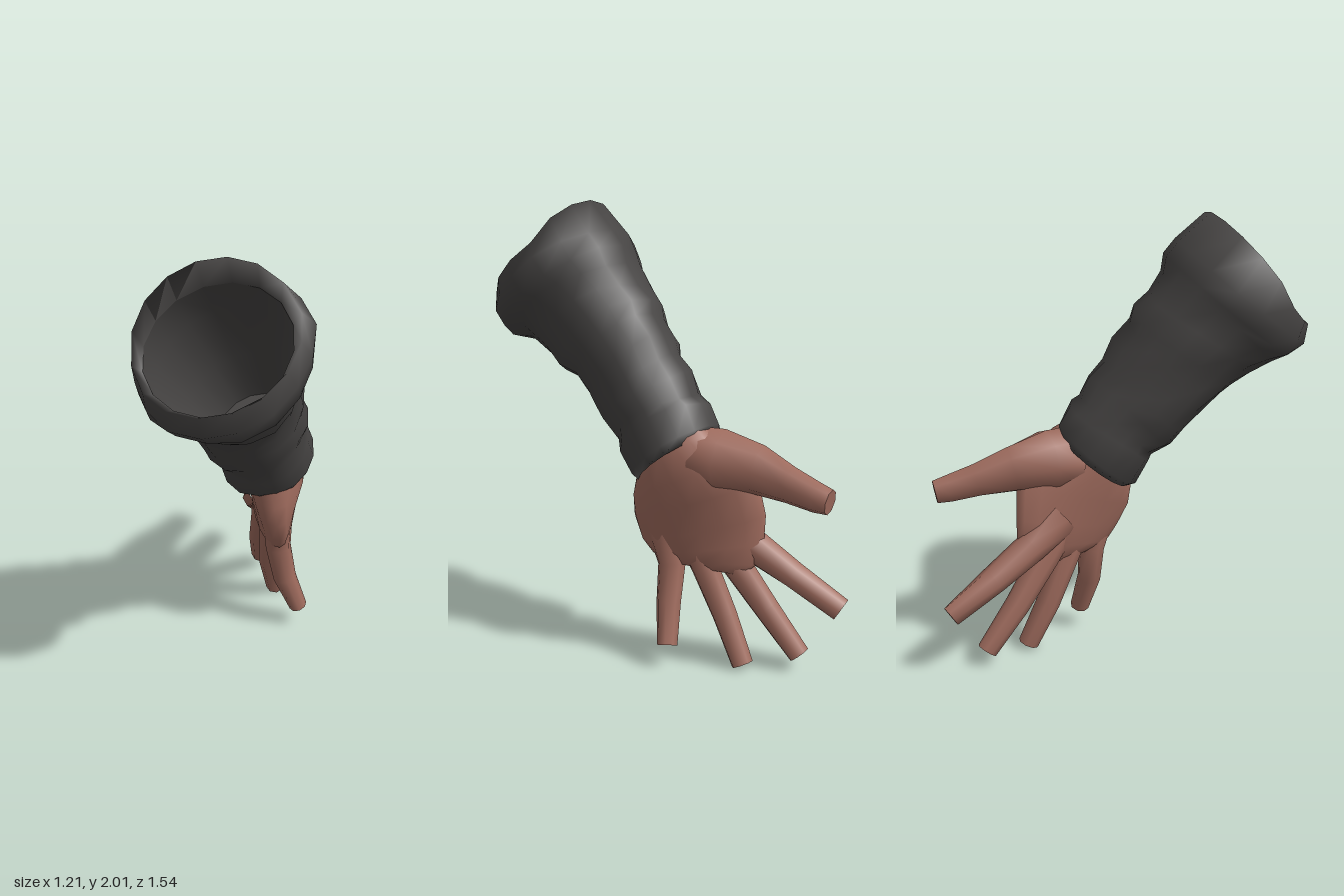
import * as THREE from 'three';

const V = (a) => new THREE.Vector3(...a);

// Skin a row of elliptical rings. ring: [centre, radius1, radius2, e1 override]
// warp(i, angle) may return { k: radius factor, lift: shift along the axis }
function loft(rings, sides, { side, axis, cap = [], warp, creaseCap = true }) {
  const pos = [], idx = [], loops = [];
  const centres = rings.map((r) => V(r[0]));
  const last = rings.length - 1;
  rings.forEach(([, r1, r2, own], i) => {
    const d = axis ? axis.clone()
      : centres[Math.min(i + 1, last)].clone().sub(centres[Math.max(i - 1, 0)]).normalize();
    const e1 = own ? V(own) : side.clone();
    e1.addScaledVector(d, -e1.dot(d)).normalize();
    const e2 = d.clone().cross(e1);
    const loop = [];
    for (let j = 0; j < sides; j++) {
      const a = (j / sides) * Math.PI * 2;
      const w = warp ? warp(i, a) : { k: 1, lift: 0 };
      const p = centres[i].clone()
        .addScaledVector(e1, Math.cos(a) * r1 * w.k)
        .addScaledVector(e2, Math.sin(a) * r2 * w.k)
        .addScaledVector(d, w.lift);
      loop.push(p);
      pos.push(p.x, p.y, p.z);
    }
    loops.push(loop);
  });
  for (let i = 0; i < last; i++) {
    for (let j = 0; j < sides; j++) {
      const n = (j + 1) % sides;
      const a = i * sides + j, b = i * sides + n;
      idx.push(a, b, b + sides, a, b + sides, a + sides);
    }
  }
  // end caps as fans, with their own ring where the edge is sharp
  for (const i of cap) {
    let base = i * sides;
    if (creaseCap) {
      base = pos.length / 3;
      loops[i].forEach((p) => pos.push(p.x, p.y, p.z));
    }
    const mid = pos.length / 3;
    const c = loops[i].reduce((s, p) => s.add(p), new THREE.Vector3()).divideScalar(sides);
    pos.push(c.x, c.y, c.z);
    for (let j = 0; j < sides; j++) idx.push(base + j, base + ((j + 1) % sides), mid);
  }
  const g = new THREE.BufferGeometry();
  g.setAttribute('position', new THREE.Float32BufferAttribute(pos, 3));
  g.setIndex(idx);
  g.computeVertexNormals();
  return g;
}

export function createModel() {
  const group = new THREE.Group();
  const cloth = new THREE.MeshStandardMaterial({ color: 0x464443, side: THREE.DoubleSide });
  cloth.name = 'charcoal cloth';
  const skin = new THREE.MeshStandardMaterial({ color: 0xa06c5e });
  skin.name = 'skin';
  const add = (name, geometry, material) => {
    const m = new THREE.Mesh(geometry, material);
    m.name = name;
    group.add(m);
  };

  // sleeve: hem, wrinkled forearm, rolled cuff with a raised flap
  const axis = V([-0.43, 0.77, 0.45]).normalize();
  const across = V([0.87, 0.49, 0]);
  const sleeve = [
    [[0.15, 0.98, -0.01], 0.17, 0.16],
    [[0.178, 0.91, -0.045], 0.2, 0.2],
    [[0.162, 0.94, -0.033], 0.22, 0.218],
    [[0.115, 1.04, 0.012], 0.222, 0.225],
    [[0.095, 1.08, 0.037], 0.212, 0.205],
    [[0.055, 1.15, 0.08], 0.243, 0.225],
    [[0.012, 1.21, 0.12], 0.245, 0.215],
    [[-0.02, 1.285, 0.155], 0.265, 0.23],
    [[-0.07, 1.365, 0.213], 0.268, 0.232],
    [[-0.10, 1.42, 0.248], 0.285, 0.265],
    [[-0.15, 1.49, 0.307], 0.292, 0.275],
    [[-0.20, 1.565, 0.38], 0.322, 0.3],
    [[-0.22, 1.595, 0.42], 0.362, 0.345],
    [[-0.25, 1.66, 0.462], 0.375, 0.353],
    [[-0.285, 1.73, 0.485], 0.347, 0.325],
    [[-0.29, 1.71, 0.51], 0.303, 0.297],
  ];
  const wrinkle = (i, a) => {
    if (i === 14) { // flap standing up at the back of the cuff
      const s = Math.pow(Math.max(0, Math.sin(a + 0.35)), 0.6);
      return { k: 1 - 0.07 * s, lift: 0.115 * s };
    }
    const k = i > 1 && i < 14 ? 1 + 0.022 * Math.sin(3 * a + i * 2.1) + 0.012 * Math.sin(5 * a - i * 1.7) : 1;
    return { k, lift: i > 2 && i < 12 ? 0.02 * Math.sin(2 * a + i * 0.9) : 0 };
  };
  add('sleeve', loft(sleeve, 16, { side: across, axis, warp: wrinkle }), cloth);

  // hollow inside of the sleeve, close under the cloth
  const lining = [
    [[-0.29, 1.71, 0.51], 0.303, 0.297],
    [[-0.20, 1.565, 0.375], 0.3, 0.28],
    [[-0.06, 1.34, 0.195], 0.245, 0.207],
    [[0.08, 1.11, 0.06], 0.19, 0.18],
  ];
  add('sleeveLining', loft(lining, 16, { side: across, axis: axis.clone().negate(), cap: [3] }), cloth);

  // palm, from the wrist to the knuckles
  const slant = [0.25, 0.2, -0.38], level = [0.14, 0.12, -0.55];
  const palm = [
    [[0.14, 1.04, 0.0], 0.14, 0.11, slant],
    [[0.205, 0.95, -0.035], 0.2, 0.14, slant],
    [[0.222, 0.85, -0.07], 0.262, 0.14, [0.2, 0.17, -0.45]],
    [[0.235, 0.75, -0.115], 0.3, 0.115, [0.2, 0.1, -0.55]],
    [[0.24, 0.62, -0.15], 0.283, 0.09, level],
    [[0.25, 0.53, -0.17], 0.25, 0.075, level],
    [[0.258, 0.475, -0.17], 0.215, 0.058, [0.14, 0.16, -0.55]],
    [[0.262, 0.44, -0.165], 0.165, 0.035, [0.14, 0.16, -0.55]],
  ];
  add('palm', loft(palm, 16, { side: V(level), cap: [7], creaseCap: false }), skin);

  // fingers and thumb: blunt eight-sided tubes
  const digits = {
    littleFinger: [
      [[0.2, 0.64, 0.025], 0.068, 0.088], [[0.22, 0.45, -0.013], 0.06, 0.062],
      [[0.25, 0.28, 0.002], 0.055, 0.055], [[0.32, 0.105, 0.01], 0.043, 0.046]],
    ringFinger: [
      [[0.23, 0.64, -0.08], 0.07, 0.08], [[0.25, 0.44, -0.158], 0.06, 0.062],
      [[0.285, 0.23, -0.245], 0.056, 0.056], [[0.348, 0.025, -0.32], 0.046, 0.049]],
    middleFinger: [
      [[0.24, 0.64, -0.18], 0.075, 0.085], [[0.265, 0.47, -0.285], 0.063, 0.068],
      [[0.31, 0.27, -0.425], 0.058, 0.058], [[0.37, 0.077, -0.565], 0.045, 0.049]],
    indexFinger: [
      [[0.235, 0.67, -0.22], 0.085, 0.115], [[0.27, 0.55, -0.36], 0.07, 0.077],
      [[0.335, 0.43, -0.54], 0.07, 0.061], [[0.412, 0.298, -0.735], 0.038, 0.055]],
    thumb: [
      [[0.235, 0.93, -0.12], 0.145, 0.14], [[0.28, 0.93, -0.23], 0.15, 0.137],
      [[0.36, 0.905, -0.38], 0.088, 0.11], [[0.46, 0.865, -0.5], 0.067, 0.08],
      [[0.54, 0.833, -0.6], 0.057, 0.066], [[0.575, 0.822, -0.65], 0.047, 0.056]],
  };
  for (const [name, rings] of Object.entries(digits)) {
    add(name, loft(rings, 8, { side: V([1, 0, 0.25]), cap: [rings.length - 1] }), skin);
  }
  return group;
}
